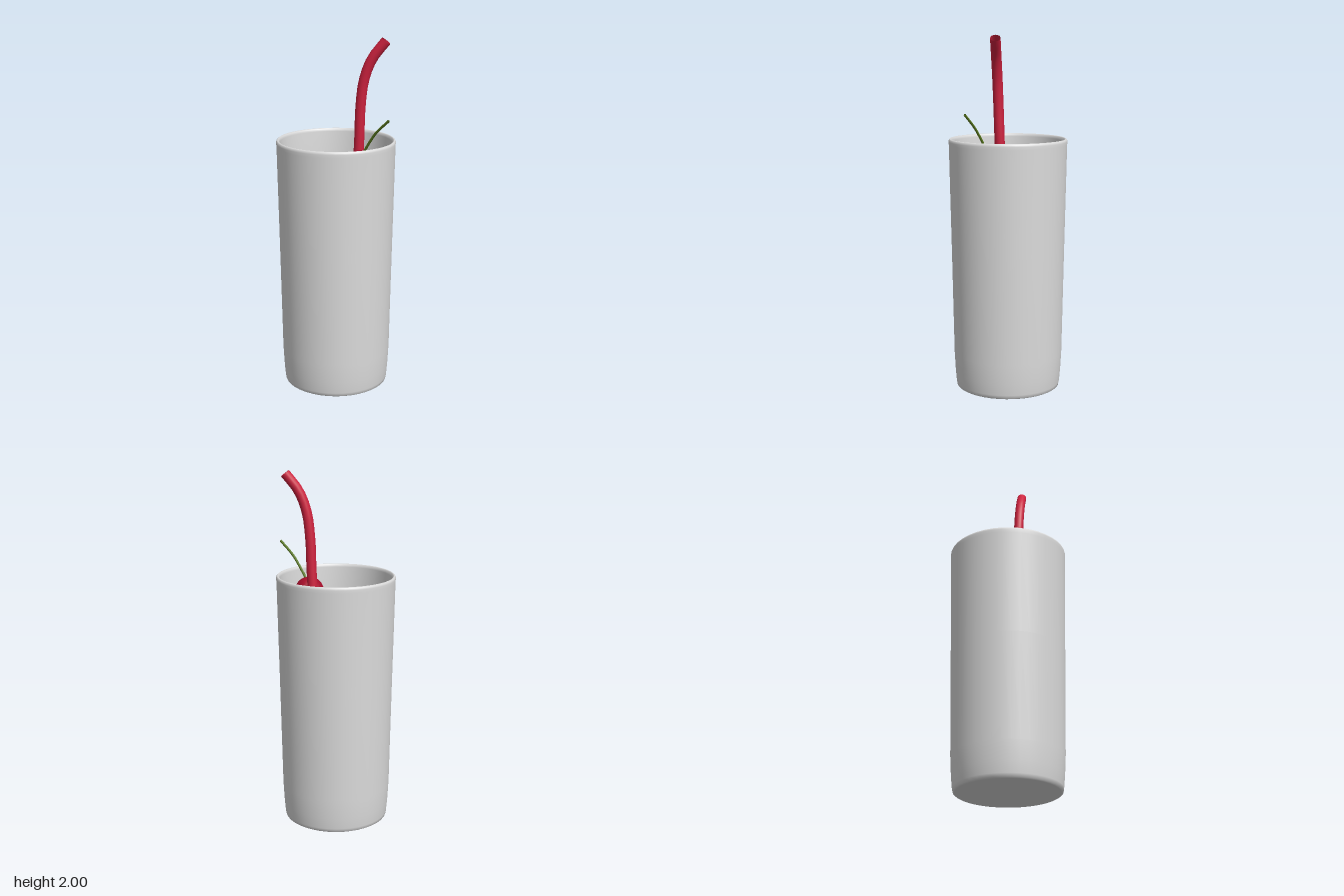
import * as THREE from 'three';
import { RoundedBoxGeometry } from 'three/addons/geometries/RoundedBoxGeometry.js';

const V = (x, y, z) => new THREE.Vector3(x, y, z);

function material(name, color, side = THREE.FrontSide) {
  const m = new THREE.MeshStandardMaterial({ color, side });
  m.name = name;
  return m;
}

// Surface of revolution, profile listed as [radius, height]
function lathe(profile, segments) {
  return new THREE.LatheGeometry(profile.map(([r, y]) => new THREE.Vector2(r, y)), segments);
}

function tube(points, radius, segments, sides) {
  return new THREE.TubeGeometry(new THREE.CatmullRomCurve3(points), segments, radius, sides, false);
}

export function createModel() {
  const group = new THREE.Group();
  const glassMat = material('clear glass', 0xdcdcdc);
  const drinkMat = material('amber drink', 0xe3a025);
  const strawMat = material('red straw', 0xd0223f, THREE.DoubleSide);
  const cherryMat = material('dark cherry', 0xa50d2a);
  const stemMat = material('green stem', 0x5c7c20, THREE.DoubleSide);

  const add = (name, geometry, mat) => {
    const mesh = new THREE.Mesh(geometry, mat);
    mesh.name = name;
    group.add(mesh);
    return mesh;
  };

  // Tumbler: base, tapered outer wall, rounded rim, inner wall and floor
  add('glass', lathe([
    [0, 0], [0.283, 0], [0.293, 0.006], [0.297, 0.025], [0.303, 0.09], [0.309, 0.2],
    [0.32, 0.8], [0.332, 1.395], [0.334, 1.412], [0.331, 1.423], [0.325, 1.428],
    [0.318, 1.424], [0.314, 1.41], [0.306, 1.2], [0.29, 0.2], [0.28, 0.06], [0, 0.05],
  ], 40), glassMat);

  // Drink filling the tumbler, with softly shaded surface
  add('drink', lathe([[0, 0.06], [0.278, 0.07], [0.288, 0.2], [0.3065, 1.22], [0, 1.22]], 40), drinkMat);

  // Ice cube standing on a corner, its tip above the drink
  const ice = add('iceCube', new RoundedBoxGeometry(0.25, 0.25, 0.25, 4, 0.025), glassMat);
  const ax = V(0.457, 0.67, 0.585).normalize();
  const az = ax.clone().cross(V(-0.809, 0.585, 0.057)).normalize();
  const ay = az.clone().cross(ax);
  ice.quaternion.setFromRotationMatrix(new THREE.Matrix4().makeBasis(ax, ay, az));
  ice.position.set(0.006, 1.068, -0.03);

  // Bent hollow straw
  add('straw', tube([
    V(0.06, 0.1, -0.03), V(0.1, 0.8, 0.01), V(0.125, 1.22, 0.034), V(0.137, 1.45, 0.042),
    V(0.143, 1.62, 0.047), V(0.162, 1.77, 0.052), V(0.205, 1.885, 0.056), V(0.28, 1.983, 0.058),
  ], 0.028, 40, 16), strawMat);

  // Cherry and its curved stem
  add('cherry', new THREE.SphereGeometry(0.084, 28, 18), cherryMat).position.set(0.152, 1.31, 0.105);
  add('cherryStem', tube([
    V(0.17, 1.38, 0.115), V(0.2, 1.435, 0.137), V(0.245, 1.505, 0.17), V(0.318, 1.582, 0.219),
  ], 0.007, 14, 8), stemMat);

  return group;
}
